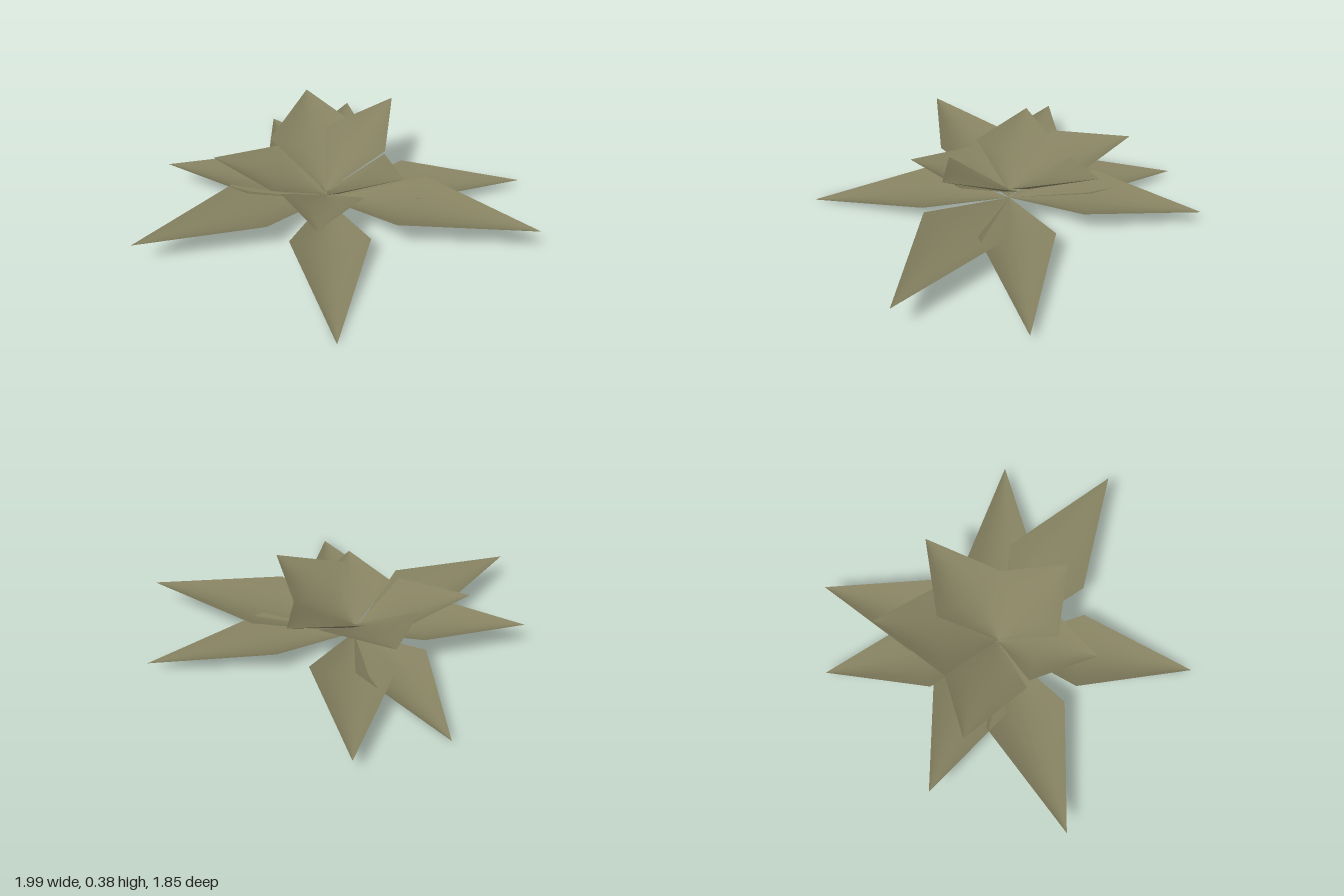
import * as THREE from 'three';

// Common root of the rosette, and where along a leaf it is widest
const ROOT_X = -0.015, ROOT_Z = -0.045, WIDEST = 0.42;
const STATIONS = [0, 0.21, 0.42, 0.71, 1];
const ACROSS = 6;

// A kite-shaped leaf from the root to its tip, cupped upward across its width
function leafGeometry(rootY, [tx, ty, tz], halfWidth) {
  const dx = tx - ROOT_X, dz = tz - ROOT_Z, length = Math.hypot(dx, dz);
  const sx = dz / length, sz = -dx / length; // sideways direction
  const positions = [], index = [];
  for (const u of STATIONS) {
    const w = u < WIDEST ? u / WIDEST : (1 - u) / (1 - WIDEST);
    for (let j = 0; j <= ACROSS; j++) {
      const v = (j / ACROSS) * 2 - 1;
      const side = v * w * halfWidth;
      positions.push(
        ROOT_X + dx * u + sx * side,
        rootY + (ty - rootY) * u + w * (0.01 + 0.064 * v * v),
        ROOT_Z + dz * u + sz * side
      );
    }
  }
  const row = ACROSS + 1;
  for (let i = 0; i < STATIONS.length - 1; i++) {
    for (let j = 0; j < ACROSS; j++) {
      const a = i * row + j, b = a + 1, c = a + row, d = c + 1;
      if (i > 0) index.push(a, b, c);
      if (i < STATIONS.length - 2) index.push(b, d, c);
      else if (i > 0) index.push(b, d, c);
      if (i === 0 && STATIONS.length === 2) index.push(a, b, c);
    }
  }
  const geometry = new THREE.BufferGeometry();
  geometry.setAttribute('position', new THREE.Float32BufferAttribute(positions, 3));
  geometry.setIndex(index);
  geometry.computeVertexNormals();
  return geometry;
}

export function createModel() {
  const model = new THREE.Group();
  model.name = 'leafRosette';
  const leafGreen = new THREE.MeshStandardMaterial({ color: 0x848060, side: THREE.DoubleSide });
  leafGreen.name = 'dry olive leaf';

  // Each leaf: tip position, half width
  const rings = [
    { name: 'outerLeaf', rootY: 0.03, leaves: [
      [[-1.0, 0.12, 0.18], 0.2],
      [[-0.75, 0.13, -0.44], 0.193],
      [[-0.085, 0.03, -0.925], 0.188],
      [[0.365, 0.075, -0.91], 0.202],
      [[0.99, 0.045, 0.09], 0.18],
      [[0.82, 0.14, 0.63], 0.222],
      [[-0.245, 0.0, 0.92], 0.19],
    ] },
    { name: 'middleLeaf', rootY: 0.06, leaves: [
      [[-0.19, 0.21, 0.425], 0.2],
      [[-0.54, 0.245, -0.255], 0.215],
    ] },
    { name: 'innerLeaf', rootY: 0.08, leaves: [
      [[0.045, 0.35, -0.635], 0.245],
      [[0.435, 0.385, -0.355], 0.192],
      [[0.25, 0.34, 0.325], 0.228],
    ] },
  ];

  for (const { name, rootY, leaves } of rings) {
    const ring = new THREE.Group();
    ring.name = name + 'Ring';
    leaves.forEach(([tip, halfWidth], i) => {
      const leaf = new THREE.Mesh(leafGeometry(rootY, tip, halfWidth), leafGreen);
      leaf.name = name + (i + 1);
      ring.add(leaf);
    });
    model.add(ring);
  }
  return model;
}
